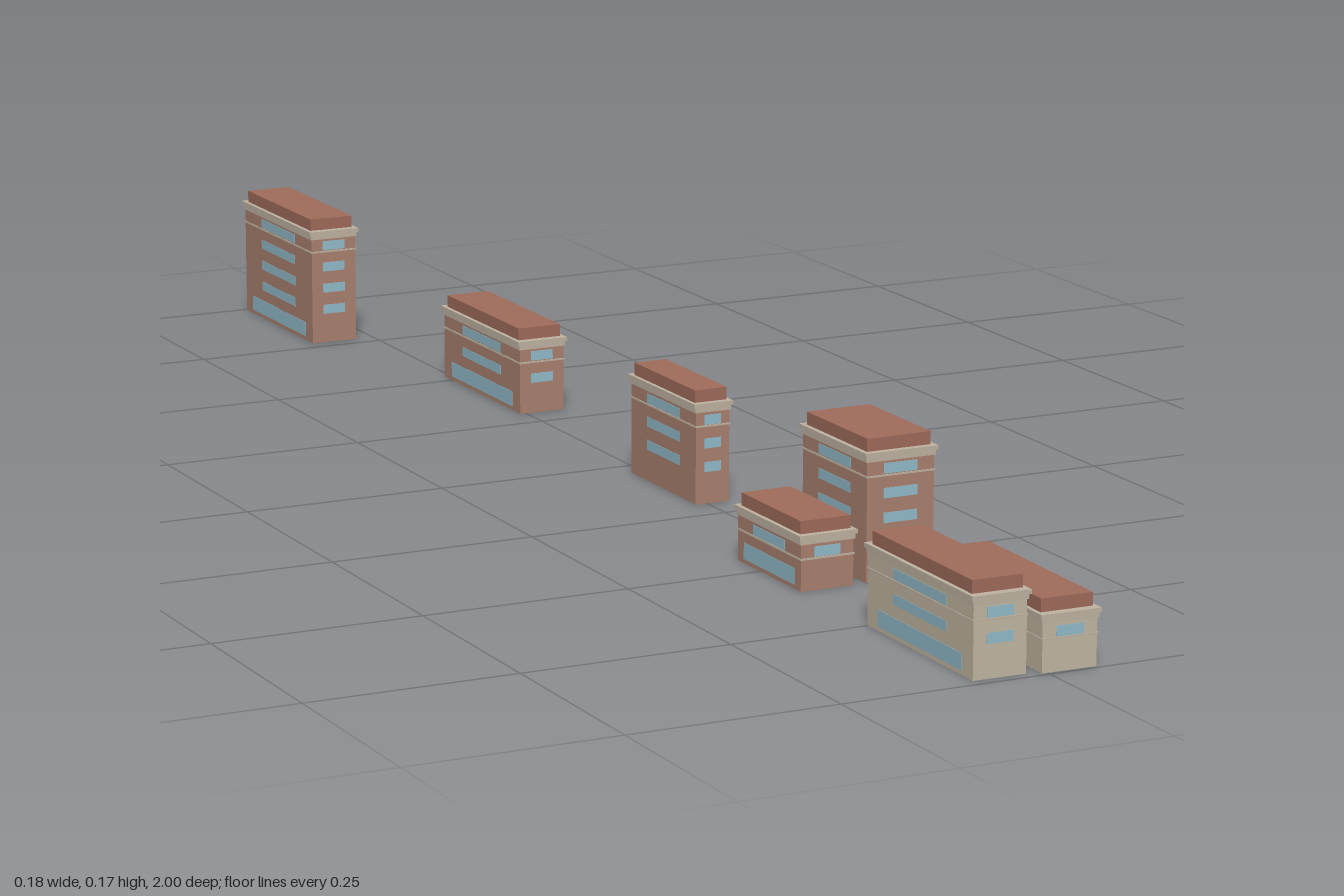
import * as THREE from 'three';

const paint = (color) => new THREE.MeshStandardMaterial({ color });
const BRICK = paint(0xab8270);
const STONE = paint(0xc2b8a3);
const TRIM = paint(0xc0b4a2);
const ROOF = paint(0xa06c5c);
const GLASS = paint(0x93bccb);

const FLOOR = 0.0285; // storey height

// Body centre x, z; width, depth, wall height; shop side (+1 or -1), wall material, turn
const BUILDINGS = [
  ['farTallBlock', -0.055, -0.885, 0.062, 0.226, 0.145, -1, BRICK, 0],
  ['farLowBlock', 0.022, -0.41, 0.06, 0.228, 0.088, -1, BRICK, 0],
  ['middleBlock', 0.007, 0.118, 0.044, 0.17, 0.117, 1, BRICK, 0],
  ['smallBrickBlock', -0.051, 0.521, 0.066, 0.152, 0.06, -1, BRICK, 0],
  ['wideTallBlock', 0.041, 0.521, 0.085, 0.152, 0.145, 1, BRICK, 0],
  ['nearStoneBlock', -0.052, 0.868, 0.064, 0.238, 0.088, -1, STONE, -0.015],
  ['nearLowStoneBlock', 0.029, 0.872, 0.066, 0.246, 0.06, 1, STONE, -0.02],
];

function addBox(group, name, material, w, h, d, x, y, z) {
  const mesh = new THREE.Mesh(new THREE.BoxGeometry(w, h, d), material);
  mesh.name = name;
  mesh.position.set(x, y, z);
  group.add(mesh);
}

function building([name, x, z, w, d, h, shopSide, wall, turn]) {
  const g = new THREE.Group();
  g.name = name;
  addBox(g, 'walls', wall, w, h, d, 0, h / 2, 0);

  // String course, stepped cornice and roof block
  addBox(g, 'stringCourse', TRIM, w + 0.002, 0.002, d + 0.002, 0, h - 0.023, 0);
  addBox(g, 'lowerCornice', TRIM, w + 0.003, 0.006, d + 0.003, 0, h - 0.003, 0);
  addBox(g, 'upperCornice', TRIM, w + 0.007, 0.005, d + 0.007, 0, h + 0.0025, 0);
  addBox(g, 'roof', ROOF, w * 0.95, 0.016, d * 0.94, 0, h + 0.012, 0);

  // Window bands on all four sides of every upper floor
  const floors = Math.round(h / FLOOR);
  for (let i = 1; i < floors; i++) {
    const y = (i + 0.56) * FLOOR;
    for (const s of [-1, 1]) {
      addBox(g, 'endWindow', GLASS, w * 0.5, 0.012, 0.001, 0, y, s * d / 2);
      addBox(g, 'sideWindow', GLASS, 0.001, 0.012, d * 0.5, s * w / 2, y, 0);
    }
  }

  // Shop window along the street side
  addBox(g, 'shopWindow', GLASS, 0.001, 0.019, d * 0.8, shopSide * w / 2, 0.0145, 0);

  g.position.set(x, 0, z);
  g.rotation.y = turn;
  return g;
}

export function createModel() {
  const model = new THREE.Group();
  model.name = 'streetBuildings';
  for (const spec of BUILDINGS) model.add(building(spec));
  return model;
}
